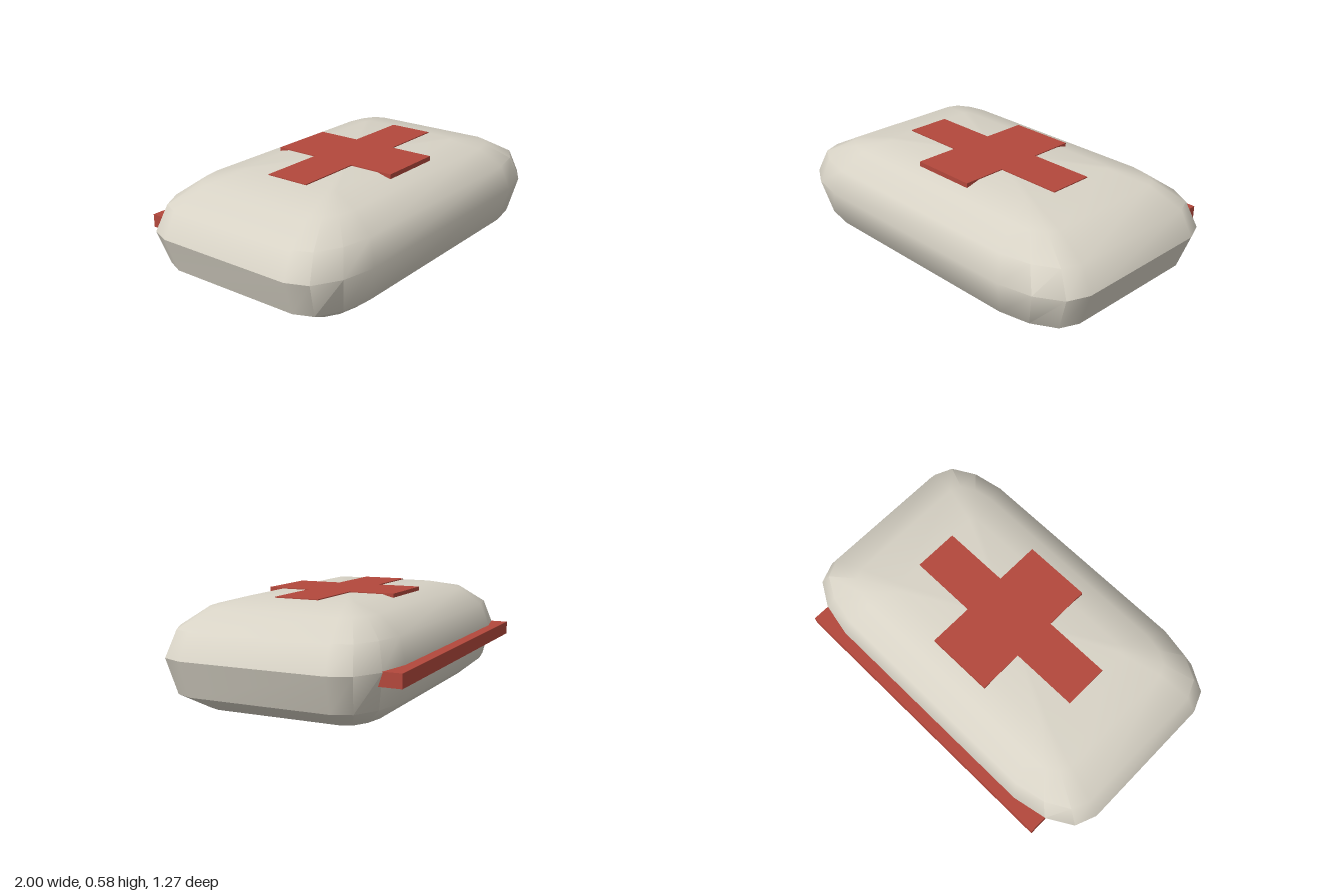
import * as THREE from 'three';
import { toCreasedNormals } from 'three/addons/utils/BufferGeometryUtils.js';

const canvas = new THREE.MeshStandardMaterial({ name: 'beige fabric', color: 0xd8d3c6 });
const red = new THREE.MeshStandardMaterial({ name: 'red', color: 0xb3483c });

// Horizontal rings: height, half width, half depth, straight half lengths in x and z
const RINGS = [
  [0.00, 0.56, 0.32, 0.53, 0.29],
  [0.04, 0.76, 0.45, 0.57, 0.33],
  [0.135, 0.935, 0.565, 0.61, 0.37],
  [0.32, 1.00, 0.608, 0.64, 0.38],
  [0.45, 0.935, 0.565, 0.61, 0.37],
  [0.54, 0.76, 0.445, 0.57, 0.33],
  [0.58, 0.54, 0.29, 0.51, 0.26],
];
// Rounded corner, from the side wall to the front wall
const CORNER = [[1, 0], [0.875, 0.49], [0.5, 0.84], [0, 1]];

function ringPoints([y, hx, hz, sx, sz]) {
  const quarter = CORNER.map(([u, v]) => [sx + (hx - sx) * u, sz + (hz - sz) * v]);
  const back = [...quarter].reverse();
  return [
    ...quarter,
    ...back.map(([x, z]) => [-x, z]),
    ...quarter.map(([x, z]) => [-x, -z]),
    ...back.map(([x, z]) => [x, -z]),
  ].map(([x, z]) => [x, y, z]);
}

// Padded pouch lofted through the rings and closed by flat caps
function pouchGeometry() {
  const n = CORNER.length * 4;
  const points = RINGS.flatMap(ringPoints);
  const bottom = points.length;
  const top = bottom + 1;
  const last = (RINGS.length - 1) * n;
  points.push([0, RINGS[0][0], 0], [0, RINGS[RINGS.length - 1][0], 0]);
  const index = [];
  for (let j = 0; j < n; j++) {
    const k = (j + 1) % n;
    for (let r = 0; r < last; r += n) {
      index.push(r + j, r + n + j, r + k, r + k, r + n + j, r + n + k);
    }
    index.push(bottom, j, k, top, last + k, last + j);
  }
  const geometry = new THREE.BufferGeometry();
  geometry.setAttribute('position', new THREE.Float32BufferAttribute(points.flat(), 3));
  geometry.setIndex(index);
  return toCreasedNormals(geometry, THREE.MathUtils.degToRad(40));
}

// Cross plate lying on the lid
function crossGeometry(w, d, armX, armZ, thickness) {
  const corners = [
    [w, -armZ], [w, armZ], [armX, armZ], [armX, d], [-armX, d], [-armX, armZ],
    [-w, armZ], [-w, -armZ], [-armX, -armZ], [-armX, -d], [armX, -d], [armX, -armZ],
  ];
  const shape = new THREE.Shape(corners.map(([x, y]) => new THREE.Vector2(x, y)));
  return new THREE.ExtrudeGeometry(shape, { depth: thickness, bevelEnabled: false })
    .rotateX(-Math.PI / 2);
}

export function createModel() {
  const model = new THREE.Group();
  model.name = 'firstAidPouch';
  const add = (name, geometry, material, x, y, z) => {
    const mesh = new THREE.Mesh(geometry, material);
    mesh.name = name;
    mesh.position.set(x, y, z);
    model.add(mesh);
  };

  add('pouch', pouchGeometry(), canvas, 0, 0, 0.03);
  add('lidCross', crossGeometry(0.54, 0.36, 0.18, 0.12, 0.025), red, 0, 0.56, 0.04);
  // Strip along the back
  add('backStrip', new THREE.BoxGeometry(1.64, 0.07, 0.115), red, 0, 0.29, -0.5775);
  return model;
}
